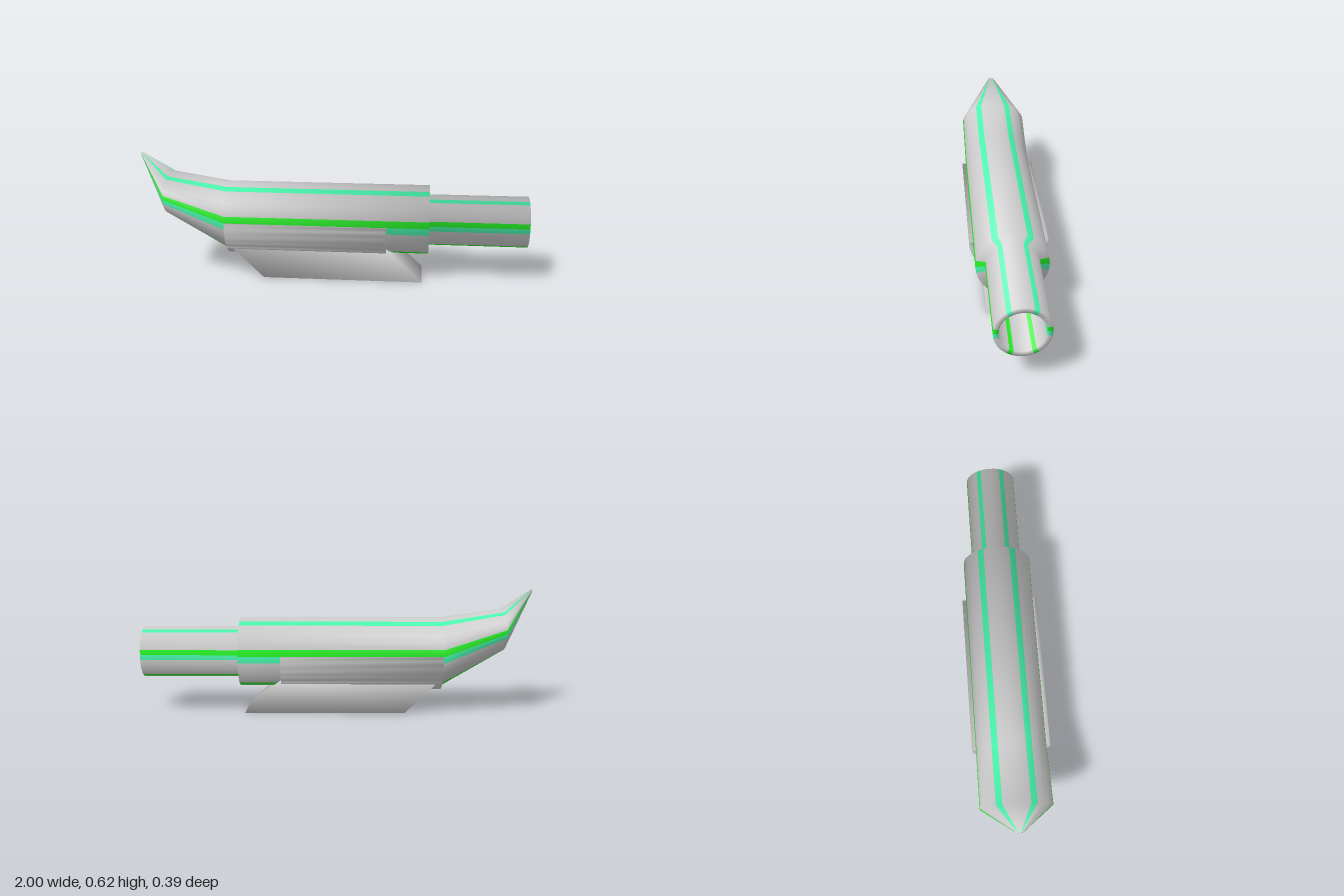
import * as THREE from 'three';
import { toCreasedNormals } from 'three/addons/utils/BufferGeometryUtils.js';

const SIDES = 32;
const GREY = 0xcccccc, GREEN = 0x26f026, TEAL = 0x47f5ac;
// Stripe colour for each lengthwise facet, counted from the top towards +z
const STRIPES = { 2: TEAL, 29: TEAL, 7: GREEN, 24: GREEN, 8: TEAL, 23: TEAL, 13: GREEN, 18: GREEN };

// Averages the normals over every edge, so that all parts shade softly
const smooth = (geometry) => toCreasedNormals(geometry, Math.PI);

function addMesh(group, name, geometry, color = GREY) {
  const mesh = new THREE.Mesh(geometry, new THREE.MeshStandardMaterial({ color }));
  mesh.name = name;
  group.add(mesh);
}

// Closed loft of elliptical sections [x, centreY, radiusY, radiusZ]
function loft(rows) {
  const pos = [], colors = [];
  const point = (i, j) => {
    const [x, y, ry, rz] = rows[i];
    const a = (((j + SIDES) % SIDES) / SIDES) * Math.PI * 2;
    return [x, y + ry * Math.cos(a), rz * Math.sin(a)];
  };
  const quad = (a, b, c, d, color) => {
    pos.push(...a, ...b, ...c, ...a, ...c, ...d);
    colors.push(color, color);
  };
  for (let j = 0; j < SIDES; j++) {
    for (let i = 0; i < rows.length - 1; i++) {
      quad(point(i, j), point(i, j + 1), point(i + 1, j + 1), point(i + 1, j), STRIPES[j] ?? GREY);
    }
  }
  // Flat end caps in horizontal strips
  const last = rows.length - 1;
  for (let k = 0; k < SIDES / 2; k++) {
    const cap = (i) => [point(i, k), point(i, -k), point(i, -k - 1), point(i, k + 1)];
    const strip = (a, b, c, d) => {
      if (k > 0) { pos.push(...a, ...b, ...c); colors.push(GREY); }
      if (k < SIDES / 2 - 1) { pos.push(...a, ...c, ...d); colors.push(GREY); }
      else if (k === 0) { pos.push(...a, ...c, ...d); colors.push(GREY); }
    };
    const [a, b, c, d] = cap(0);
    strip(a, b, c, d);
    const [e, f, g, h] = cap(last);
    // Mirrored order turns this cap the other way
    if (k > 0) { pos.push(...e, ...g, ...f); colors.push(GREY); }
    if (k < SIDES / 2 - 1) { pos.push(...e, ...h, ...g); colors.push(GREY); }
  }
  const geometry = new THREE.BufferGeometry();
  geometry.setAttribute('position', new THREE.Float32BufferAttribute(pos, 3));
  return { geometry: smooth(geometry), colors };
}

// Picks the triangles of one colour, keeping their smooth normals
function pickColor({ geometry, colors }, color) {
  const out = new THREE.BufferGeometry();
  for (const name of ['position', 'normal']) {
    const src = geometry.getAttribute(name).array, values = [];
    colors.forEach((c, t) => {
      if (c === color) values.push(...src.slice(t * 9, t * 9 + 9));
    });
    out.setAttribute(name, new THREE.Float32BufferAttribute(values, 3));
  }
  return out;
}

export function createModel() {
  const model = new THREE.Group();
  model.name = 'stripedTube';

  // Upswept nose, barrel, step, muzzle tube, lip and blind bore
  const shell = loft([
    [-1, 0.617, 0.008, 0.015],
    [-0.85, 0.415, 0.105, 0.177],
    [-0.54, 0.3, 0.177, 0.177],
    [0.5, 0.3, 0.177, 0.177],
    [0.5, 0.3, 0.13, 0.13],
    [1, 0.3, 0.13, 0.13],
    [1, 0.3, 0.105, 0.105],
    [0.5, 0.3, 0.105, 0.105],
  ]);
  addMesh(model, 'body', pickColor(shell, GREY));
  addMesh(model, 'greenStripes', pickColor(shell, GREEN), GREEN);
  addMesh(model, 'tealStripes', pickColor(shell, TEAL), TEAL);

  // Half-pipe cradle wrapped under the barrel
  const ring = new THREE.Shape();
  ring.absarc(0, 0, 0.197, Math.PI, Math.PI * 2, false);
  ring.absarc(0, 0, 0.172, Math.PI * 2, Math.PI, true);
  const cradle = new THREE.ExtrudeGeometry(ring, { depth: 0.82, bevelEnabled: false, curveSegments: 16 });
  cradle.rotateY(Math.PI / 2).translate(-0.535, 0.3, 0);
  addMesh(model, 'cradle', smooth(cradle));

  // Slanted mounting block
  const side = new THREE.Shape([
    new THREE.Vector2(-0.345, 0), new THREE.Vector2(0.47, 0),
    new THREE.Vector2(0.28, 0.175), new THREE.Vector2(-0.53, 0.175),
  ]);
  const block = new THREE.ExtrudeGeometry(side, { depth: 0.256, bevelEnabled: false });
  block.translate(0, 0, -0.128);
  addMesh(model, 'mountingBlock', smooth(block));

  return model;
}
